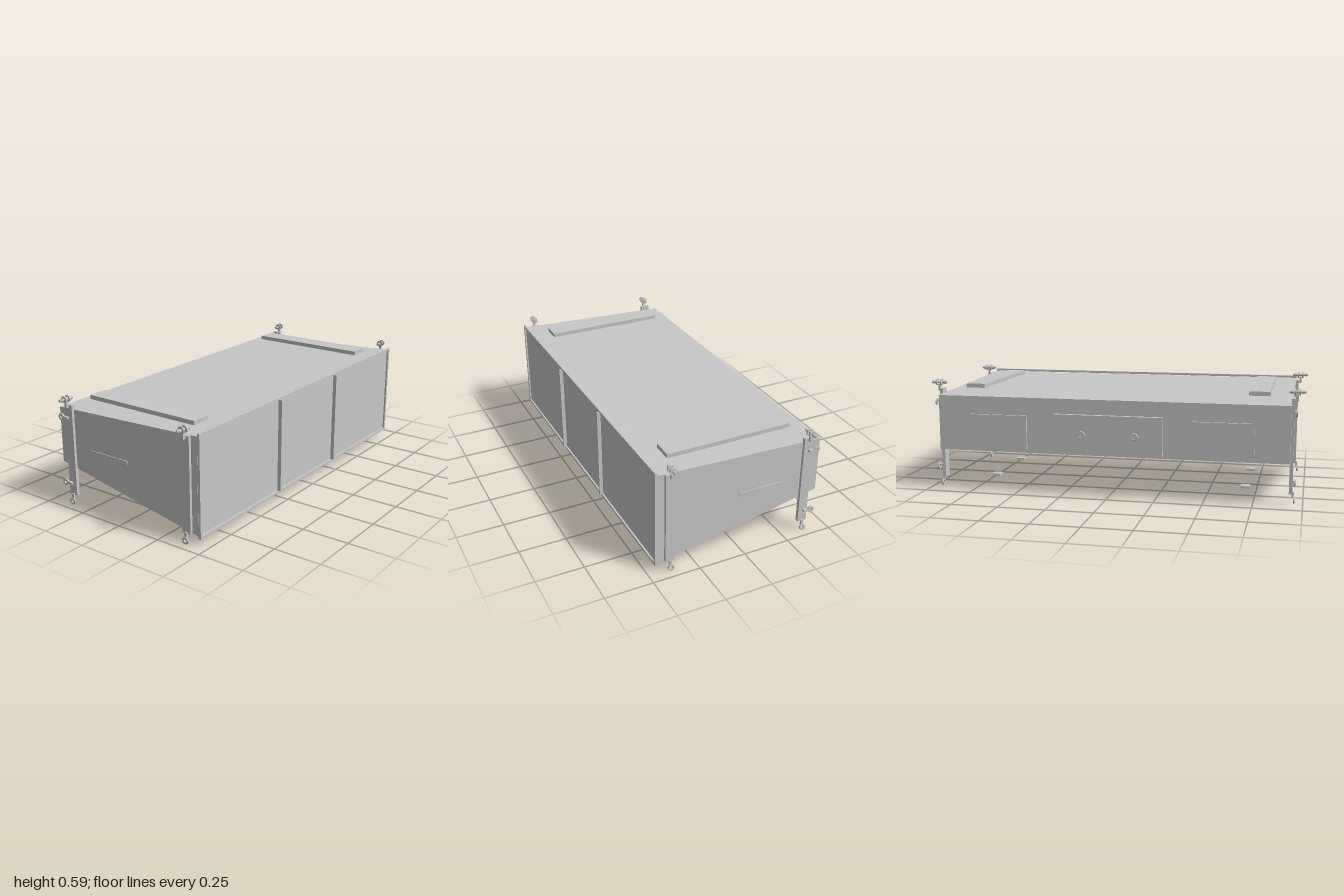
import * as THREE from 'three';

export function createModel() {
  const model = new THREE.Group();
  model.name = 'slopedCabinet';
  const grey = new THREE.MeshStandardMaterial({ color: 0xc7c7c7 });
  grey.name = 'light grey';

  const add = (name, geometry, parent = model) => {
    const mesh = new THREE.Mesh(geometry, grey);
    mesh.name = name;
    parent.add(mesh);
    return mesh;
  };

  // Box given by its limits on each axis
  const box = (name, x0, x1, y0, y1, z0, z1, parent) => {
    const mesh = add(name, new THREE.BoxGeometry(x1 - x0, y1 - y0, z1 - z0), parent);
    mesh.position.set((x0 + x1) / 2, (y0 + y1) / 2, (z0 + z1) / 2);
  };

  // Cylinder along x
  const pin = (name, r, x0, x1, y, z, parent) => {
    const g = new THREE.CylinderGeometry(r, r, x1 - x0, 20).rotateZ(Math.PI / 2);
    add(name, g, parent).position.set((x0 + x1) / 2, y, z);
  };

  // Flat eyelet facing x
  const eyelet = (name, x, y, z, parent) => {
    const depth = 0.008;
    const s = new THREE.Shape().absarc(0, 0, 0.018, 0, Math.PI * 2, false);
    s.holes.push(new THREE.Path().absarc(0, 0, 0.008, 0, Math.PI * 2, true));
    const g = new THREE.ExtrudeGeometry(s, { depth, bevelEnabled: false, curveSegments: 20 });
    g.translate(0, 0, -depth / 2).rotateY(Math.PI / 2);
    add(name, g, parent).position.set(x, y, z);
  };

  // Tapered cabinet: side profile in (z, y), extruded across x
  const profile = new THREE.Shape();
  [[0.445, 0.05], [0.445, 0.548], [0.4, 0.545], [-0.44, 0.515], [-0.44, 0.22]].forEach(([z, y], i) =>
    i ? profile.lineTo(-z, y) : profile.moveTo(-z, y));
  const bodyGeometry = new THREE.ExtrudeGeometry(profile, { depth: 1.864, bevelEnabled: false });
  bodyGeometry.translate(0, 0, -0.932).rotateY(Math.PI / 2);
  add('cabinetBody', bodyGeometry);

  // Front frame and three grille panels
  const rim = new THREE.Shape();
  rim.moveTo(-0.932, 0.036).lineTo(0.932, 0.036).lineTo(0.932, 0.562).lineTo(-0.932, 0.562).closePath();
  const opening = new THREE.Path();
  opening.moveTo(-0.918, 0.05).lineTo(-0.918, 0.55).lineTo(0.918, 0.55).lineTo(0.918, 0.05).closePath();
  rim.holes.push(opening);
  add('frontFrame', new THREE.ExtrudeGeometry(rim, { depth: 0.013, bevelEnabled: false })).position.z = 0.446;
  [[-0.913, -0.279], [-0.267, 0.267], [0.279, 0.913]].forEach(([a, b]) =>
    box('grillePanel', a, b, 0.054, 0.546, 0.443, 0.452));
  for (const x of [-0.273, 0.273]) box('grilleDivider', x - 0.006, x + 0.006, 0.05, 0.55, 0.44, 0.472);

  // Skids on top
  for (const x of [-0.767, 0.763]) box('topSkid', x - 0.053, x + 0.053, 0.546, 0.568, -0.335, 0.34);

  // Feet under the cabinet
  for (const x of [-0.697, 0.697]) for (const z of [-0.21, 0.215])
    box('foot', x - 0.025, x + 0.025, 0.035, 0.047, z - 0.025, z + 0.025);

  // Rear panels and connector knobs
  box('rearConnectorPlate', -0.29, 0.285, 0.232, 0.436, -0.462, -0.435);
  for (const x of [-0.598, 0.595]) box('rearSidePlate', x - 0.156, x + 0.156, 0.238, 0.42, -0.452, -0.435);
  for (const x of [-0.143, 0.137]) {
    const ring = add('connectorRing', new THREE.TorusGeometry(0.016, 0.005, 8, 24));
    ring.position.set(x, 0.332, -0.465);
    const knob = add('connectorCore', new THREE.CylinderGeometry(0.014, 0.014, 0.008, 24).rotateX(Math.PI / 2));
    knob.position.set(x, 0.332, -0.464);
  }

  // Rigging hardware, built on the +x side and turned for the other
  for (const side of [1, -1]) {
    const rig = new THREE.Group();
    rig.name = side > 0 ? 'leftRigging' : 'rightRigging';
    rig.rotation.y = side > 0 ? 0 : Math.PI;
    model.add(rig);
    const at = (z) => z * side;

    const h0 = at(0.01), h1 = at(-0.23);
    box('sideHandle', 0.928, 0.936, 0.305, 0.325, Math.min(h0, h1), Math.max(h0, h1), rig);

    for (const zWorld of [0.385, -0.365]) {
      const z = at(zWorld);
      box('riggingStrip', 0.929, 0.947, 0.055, 0.544, z - 0.025, z + 0.025, rig);

      // Lower tab with eyelet
      box('lowerTab', 0.944, 0.954, 0.034, 0.062, z - 0.007, z + 0.007, rig);
      eyelet('lowerEyelet', 0.955, 0.02, z, rig);

      // Upper post with cross pin and washers
      box('upperPost', 0.951, 0.963, 0.53, 0.566, z - 0.006, z + 0.006, rig);
      box('postBracket', 0.94, 0.956, 0.53, 0.542, z - 0.006, z + 0.006, rig);
      pin('crossPin', 0.007, 0.915, 1, 0.576, z, rig);
      pin('pinHead', 0.01, 0.925, 0.934, 0.576, z, rig);
      pin('pinHead', 0.01, 0.982, 0.99, 0.576, z, rig);
      eyelet('upperEyelet', 0.945, 0.576, z, rig);
      eyelet('upperEyelet', 0.969, 0.576, z, rig);
    }

    // Side eye bolts on the rear strip
    for (const y of [0.12, 0.475]) {
      const z = at(-0.405), r0 = at(-0.363), r1 = at(-0.392);
      eyelet('sideEyelet', 0.957, y, z, rig);
      box('eyeBoltShank', 0.945, 0.962, y - 0.006, y + 0.006, Math.min(r0, r1), Math.max(r0, r1), rig);
    }
  }
  return model;
}
